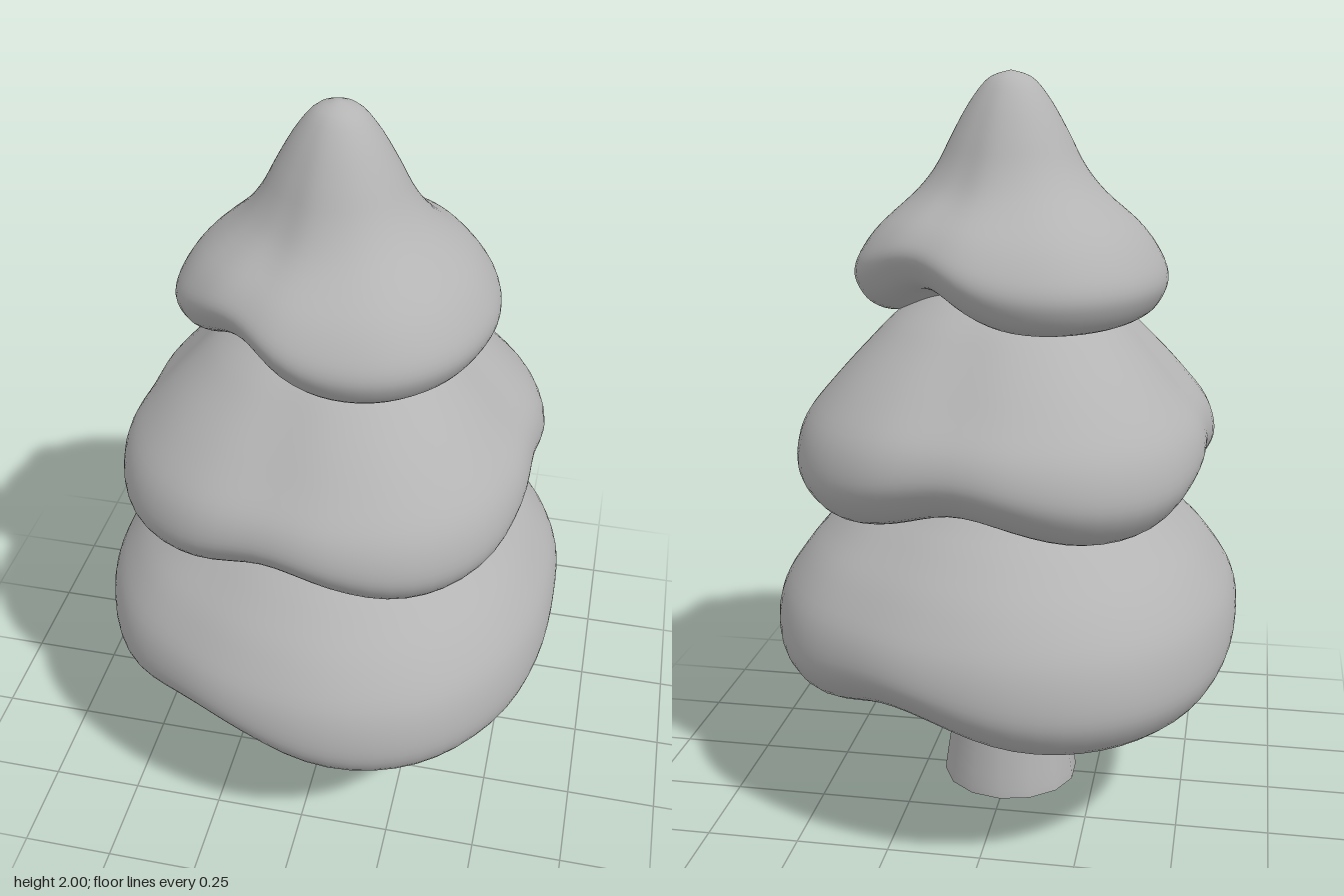
import * as THREE from 'three';
import { mergeVertices } from 'three/addons/utils/BufferGeometryUtils.js';

const { smoothstep } = THREE.MathUtils;
const grey = new THREE.MeshStandardMaterial({ color: 0xb4b4b4 });
grey.name = 'soft grey';

// Weld the lathe seam so that the shading is smooth all round
function weld(geometry) {
  geometry.deleteAttribute('uv');
  geometry.deleteAttribute('normal');
  const welded = mergeVertices(geometry, 1e-4);
  welded.computeVertexNormals();
  return welded;
}

// Smooth lathe from [radius, height] points, bottom to top
function lathe(points, steps, segments) {
  const curve = new THREE.SplineCurve(points.map(([r, y]) => new THREE.Vector2(r, y)));
  const profile = curve.getPoints(steps);
  profile.forEach((p) => { p.x = Math.max(p.x, 0); });
  return new THREE.LatheGeometry(profile, segments);
}

// One tier of foliage: a unit-radius profile, its rim radius every 20 degrees
// over a half turn (repeated on the other half), and arches lifting the rim
function tier({ name, profile, rim, arches, lift, spread }) {
  const rimCurve = new THREE.CatmullRomCurve3(
    rim.map((r) => new THREE.Vector3(0, r, 0)), true, 'catmullrom', 0.5);
  const mean = rim.reduce((a, b) => a + b) / rim.length;
  const low = Math.min(...profile.map((p) => p[1]));
  const geometry = lathe(profile, 44, 72);
  const pos = geometry.attributes.position;

  for (let i = 0; i < pos.count; i++) {
    const x = pos.getX(i), y = pos.getY(i), z = pos.getZ(i);
    const s = Math.hypot(x, z);
    const angle = THREE.MathUtils.euclideanModulo(Math.atan2(z, x) * 180 / Math.PI, 180);
    const lobed = rimCurve.getPoint(angle / 180).y;
    const radius = THREE.MathUtils.lerp(mean, lobed, Math.min(1, s * 1.4));
    let arch = 0;
    for (const a of arches) {
      const d = Math.abs(angle - a);
      arch += Math.exp(-((Math.min(d, 180 - d) / spread) ** 2));
    }
    const fade = (1 - smoothstep(y, low + 0.03, low + 0.38)) * smoothstep(s, 0.25, 0.75);
    pos.setXYZ(i, x * radius, y + lift * arch * fade, z * radius);
  }
  const mesh = new THREE.Mesh(weld(geometry), grey);
  mesh.name = name;
  return mesh;
}

export function createModel() {
  const tree = new THREE.Group();
  tree.name = 'tree';

  // Flared trunk with a flat foot
  const trunk = new THREE.Group();
  trunk.name = 'trunk';
  const stem = new THREE.Mesh(
    weld(lathe([[0.192, 0], [0.188, 0.04], [0.165, 0.2], [0.153, 0.35], [0.152, 0.5]], 10, 14)), grey);
  stem.name = 'trunkStem';
  const foot = new THREE.Mesh(new THREE.CircleGeometry(0.192, 14), grey);
  foot.name = 'trunkFoot';
  foot.rotation.set(Math.PI / 2, 0, Math.PI / 2);
  trunk.add(stem, foot);

  // Three overlapping tiers of foliage
  tree.add(
    trunk,
    tier({
      name: 'lowerFoliage',
      profile: [[0, 0.42], [0.25, 0.4], [0.5, 0.352], [0.72, 0.337], [0.89, 0.37], [0.98, 0.44], [1, 0.52],
        [0.965, 0.63], [0.87, 0.73], [0.75, 0.81], [0.63, 0.88], [0.45, 0.97], [0, 1.05]],
      rim: [0.635, 0.655, 0.69, 0.717, 0.71, 0.68, 0.658, 0.667, 0.653],
      arches: [110, 175], lift: 0.08, spread: 24,
    }),
    tier({
      name: 'middleFoliage',
      profile: [[0, 0.93], [0.5, 0.88], [0.7, 0.85], [0.87, 0.87], [0.97, 0.93], [1, 1], [0.955, 1.1],
        [0.83, 1.2], [0.65, 1.31], [0.5, 1.39], [0.3, 1.46], [0, 1.5]],
      rim: [0.54, 0.565, 0.603, 0.613, 0.592, 0.564, 0.593, 0.605, 0.583],
      arches: [97, 5], lift: 0.075, spread: 26,
    }),
    tier({
      name: 'upperFoliage',
      profile: [[0, 1.42], [0.5, 1.375], [0.75, 1.363], [0.9, 1.385], [0.98, 1.43], [1, 1.475], [0.95, 1.53],
        [0.83, 1.6], [0.6, 1.69], [0.47, 1.76], [0.37, 1.84], [0.26, 1.92], [0.14, 1.98], [0, 2]],
      rim: [0.42, 0.42, 0.427, 0.427, 0.414, 0.4, 0.37, 0.385, 0.413],
      arches: [125], lift: 0.1, spread: 30,
    }),
  );
  return tree;
}
